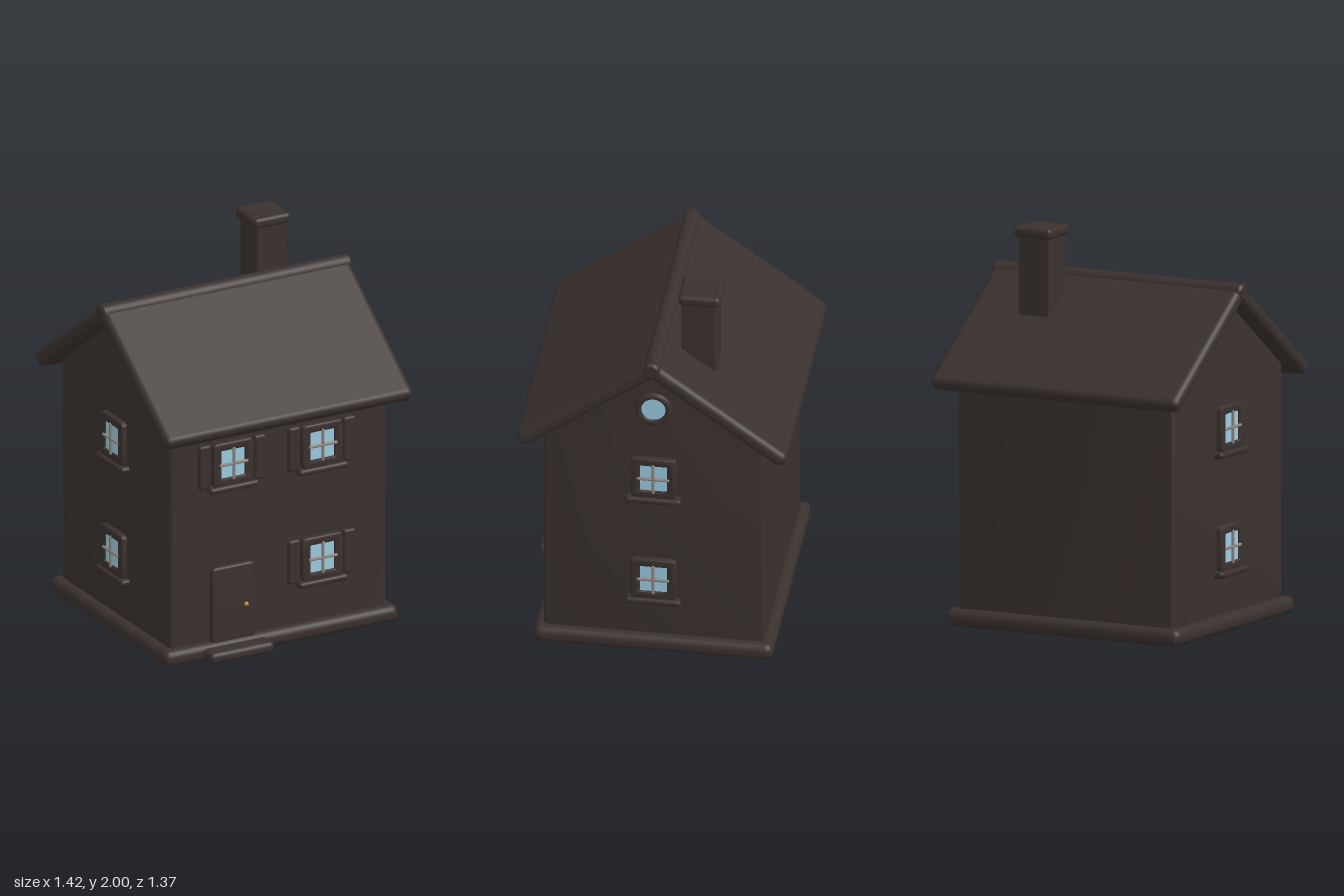
import * as THREE from 'three';
import { RoundedBoxGeometry } from 'three/addons/geometries/RoundedBoxGeometry.js';
import { toCreasedNormals } from 'three/addons/utils/BufferGeometryUtils.js';

const paint = (color) => new THREE.MeshStandardMaterial({ color });
const DARK = paint(0x3a312e);
const GLASS = paint(0x9ccbe0);
const BAR = paint(0x8c8580);
const BRASS = paint(0xb8922f);

function add(parent, name, geometry, material, x = 0, y = 0, z = 0) {
  const mesh = new THREE.Mesh(geometry, material);
  mesh.name = name;
  mesh.position.set(x, y, z);
  parent.add(mesh);
  return mesh;
}

const softBox = (w, h, d, r) => new RoundedBoxGeometry(w, h, d, 4, r);

// Extrusion with softened edges, centred on its depth; bevel stays inside the outline
function softExtrude(shape, depth, bevel) {
  const geometry = new THREE.ExtrudeGeometry(shape, {
    depth: depth - 2 * bevel, bevelSize: bevel, bevelThickness: bevel,
    bevelOffset: -bevel, bevelSegments: 4, curveSegments: 8,
  });
  geometry.translate(0, 0, bevel - depth / 2);
  return toCreasedNormals(geometry, 0.6);
}

function roundedRect(path, w, h, r) {
  const x = w / 2, y = h / 2;
  path.absarc(x - r, y - r, r, 0, Math.PI / 2);
  path.absarc(r - x, y - r, r, Math.PI / 2, Math.PI);
  path.absarc(r - x, r - y, r, Math.PI, Math.PI * 1.5);
  path.absarc(x - r, r - y, r, Math.PI * 1.5, Math.PI * 2);
  path.closePath();
  return path;
}

// Window facing +z with its origin on the wall surface
function createWindow(shutters) {
  const group = new THREE.Group();
  const frame = roundedRect(new THREE.Shape(), 0.232, 0.235, 0.025);
  frame.holes.push(roundedRect(new THREE.Path(), 0.136, 0.148, 0.004));
  add(group, 'windowFrame', softExtrude(frame, 0.05, 0.01), DARK, 0, 0, 0.005);
  add(group, 'windowGlass', new THREE.BoxGeometry(0.16, 0.17, 0.02), GLASS, 0, 0, 0.008);
  add(group, 'verticalBar', new THREE.CapsuleGeometry(0.008, 0.158, 4, 10), BAR, 0, 0, 0.029);
  add(group, 'horizontalBar', new THREE.CapsuleGeometry(0.008, 0.15, 4, 10), BAR, 0, 0, 0.029)
    .rotation.z = Math.PI / 2;
  add(group, 'windowSill', softBox(0.28, 0.034, 0.07, 0.016), DARK, 0, -0.128, 0.011);
  if (shutters) {
    for (const side of [-1, 1]) {
      add(group, 'shutter', softBox(0.068, 0.236, 0.04, 0.014), DARK, side * 0.157, 0, 0.004);
    }
  }
  return group;
}

export function createModel() {
  const house = new THREE.Group();
  house.name = 'house';

  // Plinth and doorstep
  add(house, 'plinth', softBox(1.34, 0.09, 1.21, 0.04), DARK, 0, 0.045, 0);
  add(house, 'doorstep', softBox(0.365, 0.06, 0.3, 0.025), DARK, -0.27, 0.04, 0.535);

  // Walls with both gables
  const gable = new THREE.Shape();
  gable.moveTo(-0.556, 0.05);
  gable.lineTo(0.556, 0.05);
  gable.lineTo(0.556, 1.275);
  gable.lineTo(0, 1.68);
  gable.lineTo(-0.556, 1.275);
  gable.closePath();
  add(house, 'walls', softExtrude(gable, 1.236, 0.02), DARK).rotation.y = Math.PI / 2;

  // Roof slopes and ridge
  const pitch = 0.628, slope = 0.83;
  for (const side of [-1, 1]) {
    add(house, 'roofSlope', softBox(1.416, 0.08, slope, 0.035), DARK,
      0, 1.71 - Math.sin(pitch) * slope / 2, side * Math.cos(pitch) * slope / 2)
      .rotation.x = side * pitch;
  }
  const ridge = [[0, -0.712], [0.033, -0.712], [0.044, -0.7], [0.044, 0.7], [0.033, 0.712], [0, 0.712]]
    .map(([r, y]) => new THREE.Vector2(r, y));
  add(house, 'roofRidge', toCreasedNormals(new THREE.LatheGeometry(ridge, 24), 0.6), DARK, 0, 1.716, 0)
    .rotation.z = Math.PI / 2;

  // Chimney
  add(house, 'chimneyStack', softBox(0.176, 0.56, 0.176, 0.012), DARK, 0.335, 1.69, -0.197);
  add(house, 'chimneyCap', softBox(0.212, 0.055, 0.212, 0.022), DARK, 0.335, 1.9725, -0.2);

  // Door
  const door = roundedRect(new THREE.Shape(), 0.246, 0.42, 0.025);
  add(house, 'door', softExtrude(door, 0.06, 0.012), DARK, -0.271, 0.271, 0.555);
  add(house, 'doorKnob', new THREE.SphereGeometry(0.012, 16, 12), BRASS, -0.2, 0.262, 0.588);

  // Windows: [x, y, z, facing angle, shutters]
  const quarter = Math.PI / 2;
  const windows = [[-0.27, 1.03, 0.556, 0, true], [0.24, 1.03, 0.556, 0, true], [0.24, 0.425, 0.556, 0, true]];
  for (const side of [-1, 1]) {
    for (const y of [1.03, 0.425]) windows.push([side * 0.618, y, 0, side * quarter, false]);
  }
  for (const [x, y, z, angle, shutters] of windows) {
    const unit = createWindow(shutters);
    unit.name = 'window';
    unit.position.set(x, y, z);
    unit.rotation.y = angle;
    house.add(unit);
  }

  // Round attic window in the left gable
  const attic = new THREE.Group();
  attic.name = 'atticWindow';
  attic.position.set(0.618, 1.442, 0);
  attic.rotation.y = quarter;
  add(attic, 'atticFrame', new THREE.TorusGeometry(0.077, 0.018, 12, 40), DARK, 0, 0, 0.008);
  add(attic, 'atticGlass', new THREE.CylinderGeometry(0.068, 0.068, 0.03, 32), GLASS)
    .rotation.x = quarter;
  house.add(attic);

  return house;
}
